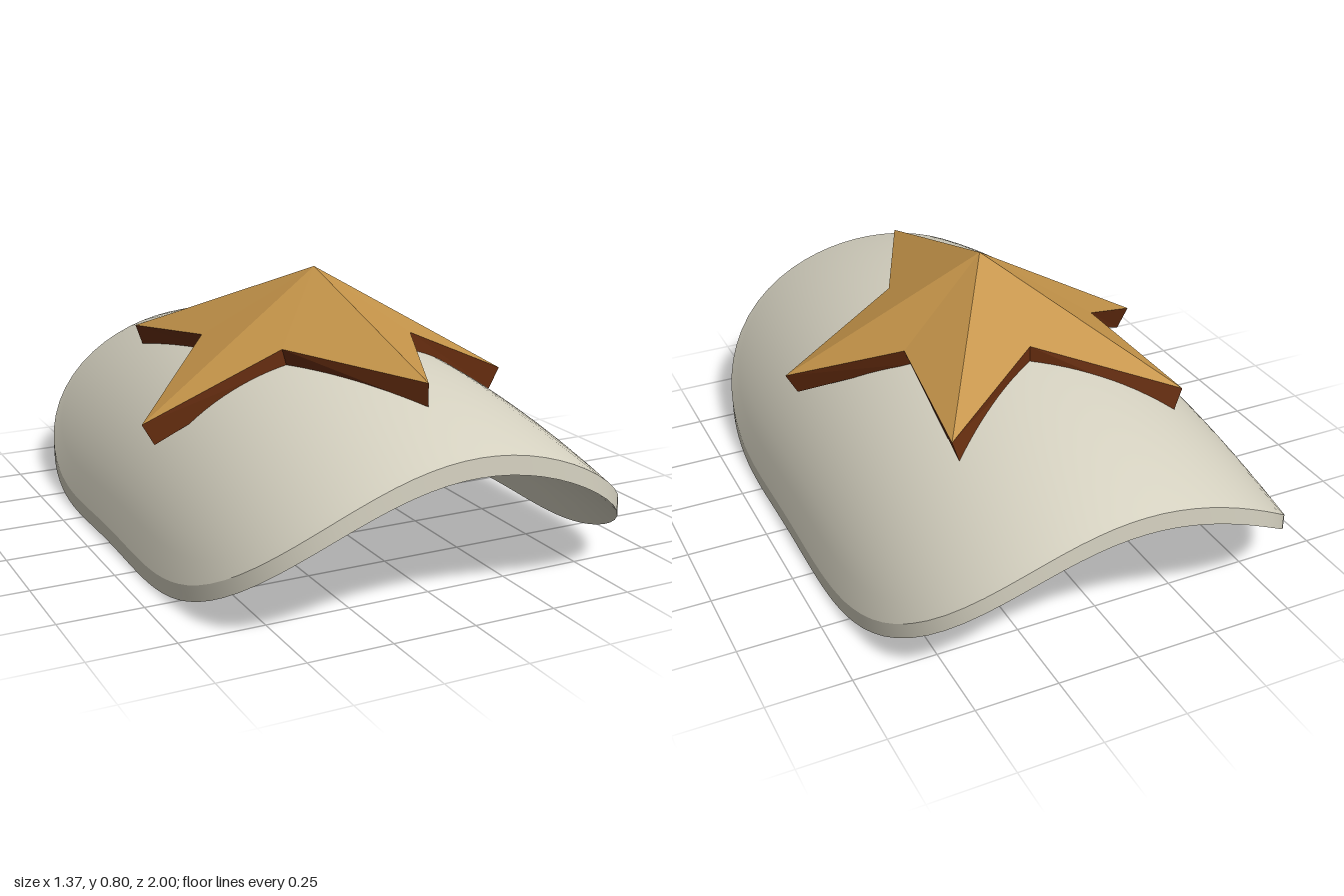
import * as THREE from 'three';

const HALF_WIDTH = 0.685, RADIUS = 0.7;

// Arched outer surface of the plate, and the inner surface below it
const outer = (x, z) => 0.605 - (RADIUS - Math.sqrt(RADIUS * RADIUS - x * x)) - 0.14 * z * z;
const inner = (x, z) => outer(x, z) - 0.055 + 0.008 * (x / HALF_WIDTH) ** 2;

// Closed loops of [x, y, z] joined row by row into a surface
function loft(rows, flat = false) {
  const n = rows[0].length, index = [];
  for (let i = 0; i < rows.length - 1; i++) {
    for (let j = 0; j < n; j++) {
      const k = (j + 1) % n;
      const a = i * n + j, b = i * n + k, c = a + n, d = b + n;
      index.push(a, c, d, a, d, b);
    }
  }
  let g = new THREE.BufferGeometry();
  g.setAttribute('position', new THREE.Float32BufferAttribute(rows.flat(2), 3));
  g.setIndex(index);
  if (flat) g = g.toNonIndexed();
  g.computeVertexNormals();
  return g;
}

// Rows shrinking from (or growing to) an outline, with a height rule
function rings(outline, center, count, height) {
  const rows = [];
  for (let i = 0; i <= count; i++) {
    const t = Math.max(i / count, 0.001);
    rows.push(outline.map(([px, py, pz]) => {
      const x = center[0] + (px - center[0]) * t;
      const z = center[2] + (pz - center[2]) * t;
      return [x, height(x, z, center[1] + (py - center[1]) * t, i === count), z];
    }));
  }
  return rows;
}

// Extra points along each side of a polygon
function subdivide(points, steps) {
  return points.flatMap((p, i) => {
    const q = points[(i + 1) % points.length];
    return Array.from({ length: steps }, (_, s) => p.map((v, k) => v + (q[k] - v) * s / steps));
  });
}

export function createModel() {
  const group = new THREE.Group();
  const ivory = new THREE.MeshStandardMaterial({ name: 'ivory', color: 0xd8d4c3 });
  const gold = new THREE.MeshStandardMaterial({ name: 'gold', color: 0xc6954a });
  const brown = new THREE.MeshStandardMaterial({ name: 'brown', color: 0x6a2f10 });
  const add = (parent, name, geometry, material) => {
    const mesh = new THREE.Mesh(geometry, material);
    mesh.name = name;
    parent.add(mesh);
  };

  // Curved plate with a rounded-rectangle outline
  const plate = new THREE.Group();
  plate.name = 'curvedPlate';
  const edge = Array.from({ length: 128 }, (_, i) => {
    const a = i / 128 * Math.PI * 2, s = Math.sin(a), c = Math.cos(a);
    const r = ((Math.abs(s) / HALF_WIDTH) ** 4 + c ** 4) ** -0.25;
    return [s * r, 0, c * r];
  });
  const top = rings(edge, [0, 0, 0], 28, outer);
  const under = rings(edge, [0, 0, 0], 28, inner).reverse();
  add(plate, 'plateTop', loft(top), ivory);
  add(plate, 'plateRim', loft([top[28], under[0]]), ivory);
  add(plate, 'plateUnderside', loft(under), ivory);
  group.add(plate);

  // Five-pointed star, tips and notches in turn from the front tip
  const star = new THREE.Group();
  star.name = 'star';
  const corners = [
    [0, 0.597, 0.73], [0.21, 0.618, 0.265],
    [0.6, 0.44, 0.17], [0.31, 0.592, -0.1],
    [0.36, 0.54, -0.555], [0, 0.64, -0.315],
    [-0.38, 0.53, -0.555], [-0.32, 0.587, -0.11],
    [-0.625, 0.41, 0.17], [-0.22, 0.612, 0.265],
  ];
  const apex = [0, 0.8, 0.03];
  const base = corners.map(([x, y, z], i) => [x * 0.94, y - (i % 2 ? 0.048 : 0.066), z]);
  add(star, 'starFacets', loft([corners.map(() => apex), corners], true), gold);
  add(star, 'starSides', loft([corners, base], true), brown);
  const baseRows = rings(subdivide(base, 8), [0, 0.57, 0.03], 8,
    (x, z, y, last) => last ? y : Math.max(y, outer(x, z) - 0.02)).reverse();
  add(star, 'starBase', loft(baseRows), brown);
  group.add(star);

  // Thin star inlay on the inside of the plate
  const inlay = subdivide(corners.map(([x, y, z]) => [x * 0.94, y, z * 0.96]), 10);
  add(group, 'innerStar', loft(rings(inlay, apex, 14, (x, z) => inner(x, z) - 0.006).reverse()), gold);

  return group;
}
